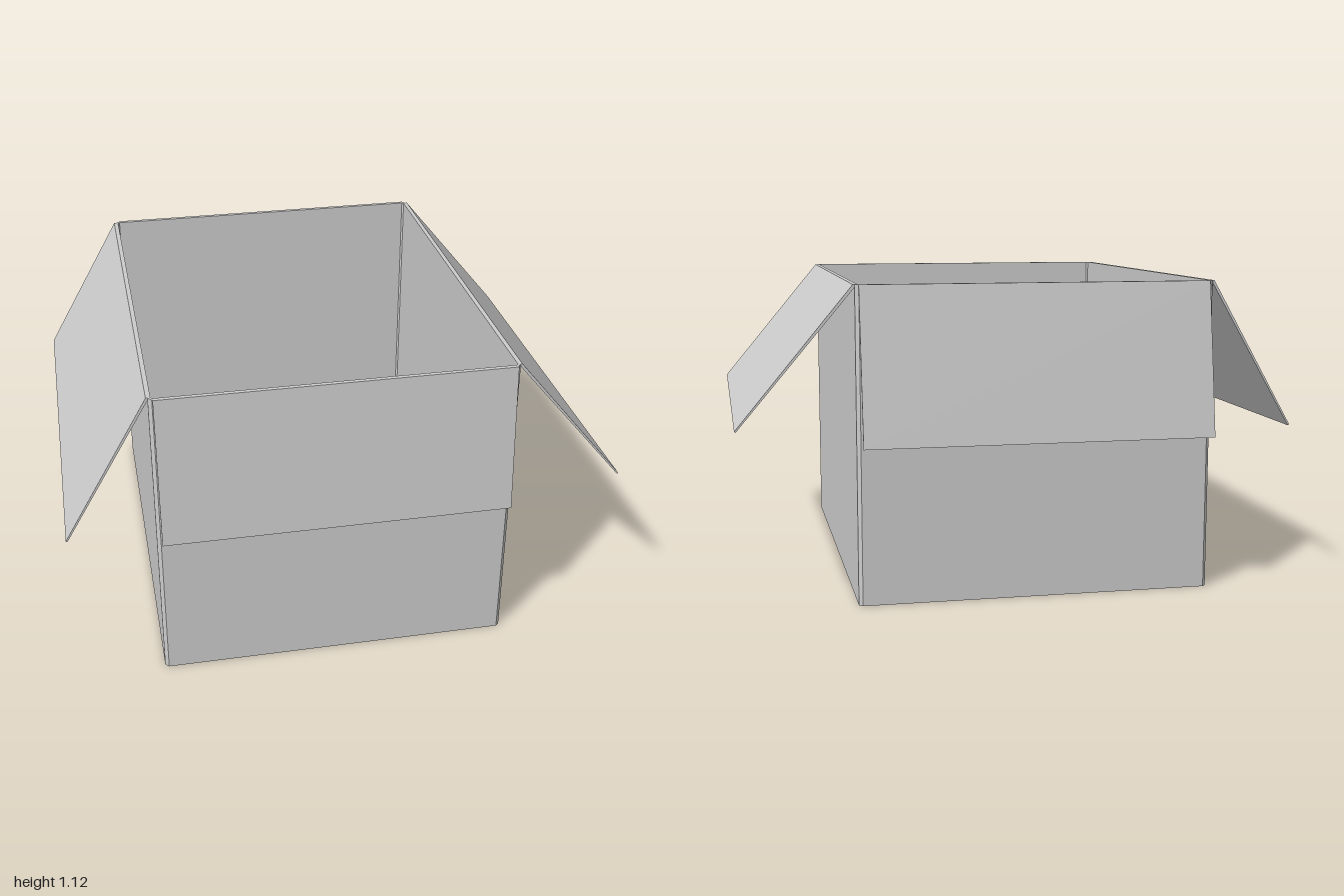
import * as THREE from 'three';

const H = 1.12;                                        // wall height
const X0 = -0.69, X1 = 0.587, Z0 = -0.775, Z1 = 0.82;  // outer footprint
const WALL = 0.01, FLOOR = 0.006, SHEET = 0.006, CORNER = 0.013;

// Rectangle with bevelled corners, inset from the footprint; drawn in x and z
function footprint(inset, bevel) {
  const a = X0 + inset, b = X1 - inset, c = Z0 + inset, d = Z1 - inset;
  return [
    [a + bevel, c], [b - bevel, c], [b, c + bevel], [b, d - bevel],
    [b - bevel, d], [a + bevel, d], [a, d - bevel], [a, c + bevel],
  ].map(([x, z]) => new THREE.Vector2(x, z));
}

// Upright prism between two heights
function prism(shape, y0, y1) {
  const geo = new THREE.ExtrudeGeometry(shape, { depth: y1 - y0, bevelEnabled: false });
  return geo.rotateX(Math.PI / 2).translate(0, y1, 0);
}

// Flap section: short fold over the rim at "edge", then a straight sheet to the tip
function flap(edge, tipOut, tipY, length) {
  const s = Math.sign(edge), e = Math.abs(edge), fold = e + 0.006;
  const dx = tipOut - fold, dy = tipY - H, len = Math.hypot(dx, dy);
  const nx = (dy / len) * SHEET, ny = (-dx / len) * SHEET; // towards the underside
  const points = [
    [e, H], [fold, H], [tipOut, tipY], [tipOut + nx, tipY + ny],
    [e, H + ny - SHEET],
  ].map(([x, y]) => new THREE.Vector2(s * x, y));
  return new THREE.ExtrudeGeometry(new THREE.Shape(points), { depth: length, bevelEnabled: false });
}

export function createModel() {
  const box = new THREE.Group();
  box.name = 'openBox';
  const material = new THREE.MeshStandardMaterial({ color: 0xcccccc, side: THREE.DoubleSide });
  const add = (name, geometry) => {
    const mesh = new THREE.Mesh(geometry, material);
    mesh.name = name;
    box.add(mesh);
  };

  // Four walls as one bevelled tube, closed by a floor
  const ring = new THREE.Shape(footprint(0, CORNER));
  ring.holes.push(new THREE.Path(footprint(WALL, CORNER / 2)));
  add('walls', prism(ring, 0, H));
  add('floor', prism(new THREE.Shape(footprint(WALL, CORNER / 2)), 0, FLOOR));

  // Side flaps run along z
  const zStart = -0.765, zLength = 1.57;
  add('leftFlap', flap(X1, 1, 0.63, zLength).translate(0, 0, zStart));
  add('rightFlap', flap(X0, 1, 0.59, zLength).translate(0, 0, zStart));

  // Front and back flaps run along x
  const xEnd = 0.575, xLength = 1.25;
  add('frontFlap', flap(Z1, 0.867, 0.57, xLength).rotateY(-Math.PI / 2).translate(xEnd, 0, 0));
  add('backFlap', flap(Z0, 0.867, 0.57, xLength).rotateY(-Math.PI / 2).translate(xEnd, 0, 0));

  return box;
}
